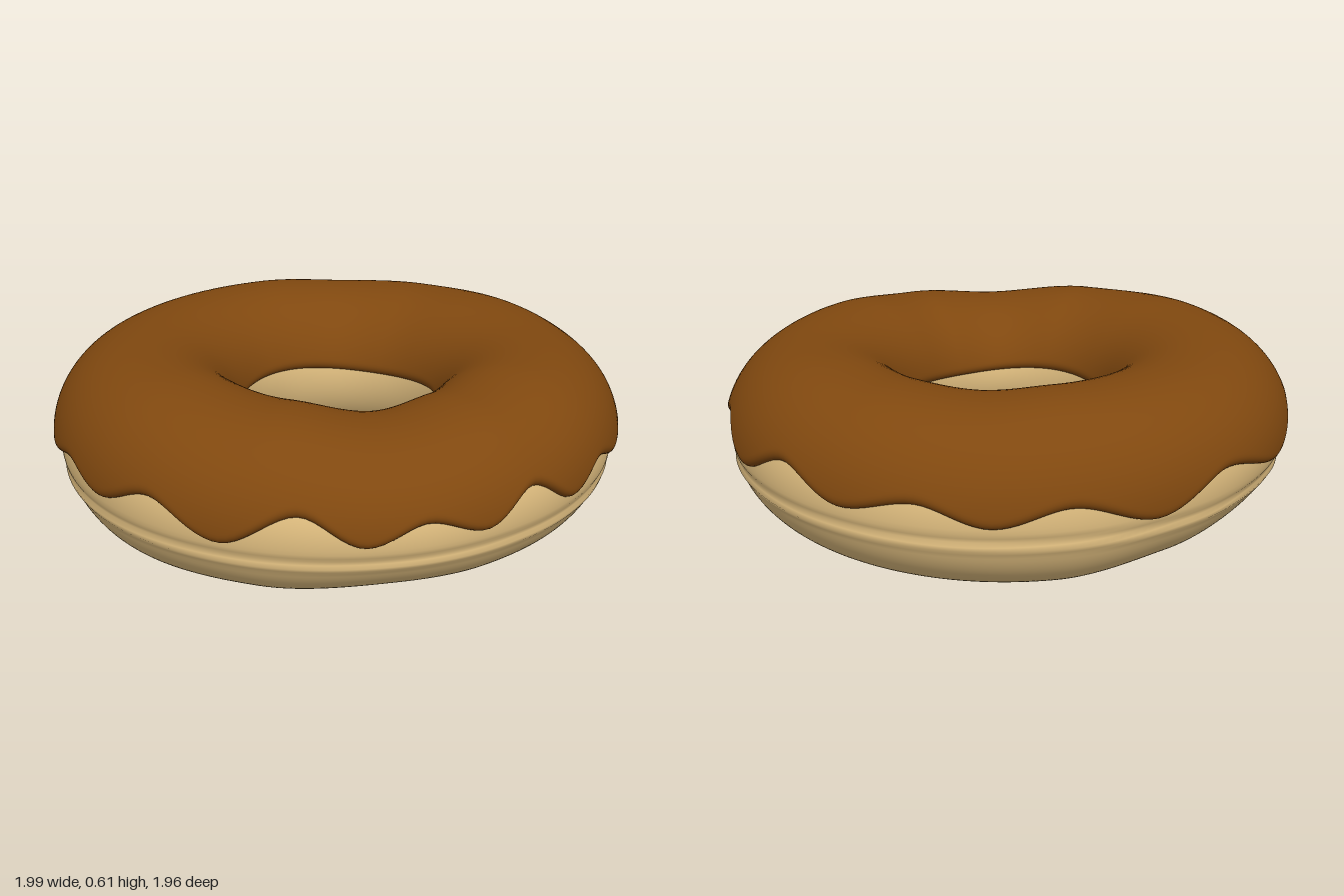
import * as THREE from 'three';

const RING = 0.667, HALF_WIDTH = 0.302, COAT = 0.024, SEGMENTS = 240;

// Heights around the ring as [degrees from +x towards +z, y]
const underside = [[0, 0.005], [40, 0.025], [65, 0.036], [95, 0.045], [117, 0.056], [145, 0.03], [180, 0.005],
  [215, 0.03], [243, 0.055], [265, 0.035], [290, 0.005], [330, 0.004]];
const crown = [[0, 0.6], [30, 0.592], [65, 0.6], [90, 0.58], [115, 0.553], [145, 0.592], [180, 0.613],
  [250, 0.597], [285, 0.595], [310, 0.58], [335, 0.59]];
const icingHem = [[0, 0.29], [15, 0.375], [30, 0.3], [45, 0.325], [57, 0.302], [68, 0.35], [79, 0.293], [90, 0.385],
  [101, 0.298], [112, 0.35], [123, 0.293], [135, 0.385], [149, 0.283], [164, 0.37], [177, 0.3], [189, 0.345],
  [202, 0.298], [218, 0.375], [237, 0.29], [256, 0.36], [273, 0.27], [289, 0.34], [303, 0.285], [317, 0.345],
  [331, 0.298], [346, 0.375]];

// Smooth periodic interpolation between keyed angles
function around(keys, angle) {
  const deg = THREE.MathUtils.radToDeg(angle) % 360;
  let i = keys.length - 1;
  while (keys[i][0] > deg) i--;
  const [d0, y0] = keys[i];
  const next = keys[(i + 1) % keys.length];
  const d1 = i + 1 < keys.length ? next[0] : 360;
  return THREE.MathUtils.lerp(y0, next[1], THREE.MathUtils.smoothstep(deg, d0, d1));
}

// Middle height and half height of the dough at an angle
function section(a) {
  const low = around(underside, a), high = around(crown, a) - COAT;
  return { mid: (low + high) / 2, half: (high - low) / 2 };
}

// Point on the dough cross-section, pushed out along it by an offset
function ringPoint(a, theta, offset) {
  const { mid, half } = section(a);
  const c = Math.cos(theta), s = Math.sin(theta);
  const width = HALF_WIDTH + (c > 0 ? 0.006 * Math.cos(2 * a) * c : 0);
  const bulge = Math.sign(c) * Math.pow(Math.abs(c), 0.92);
  return [RING + width * bulge + offset * c, mid + half * s + offset * s];
}

// Sweeps a cross-section rule round the y axis; open sections end inside the dough
function sweep(rule, steps, closed) {
  const positions = [], index = [];
  const row = closed ? steps : steps + 1;
  for (let i = 0; i < SEGMENTS; i++) {
    const a = (i / SEGMENTS) * Math.PI * 2;
    for (let j = 0; j < row; j++) {
      const [r, y] = rule(a, j / steps);
      positions.push(r * Math.cos(a), y, r * Math.sin(a));
    }
    const k = (i + 1) % SEGMENTS;
    for (let j = 0; j < steps; j++) {
      const n = (j + 1) % row;
      const p = i * row + j, q = i * row + n, u = k * row + j, v = k * row + n;
      index.push(p, q, u, q, v, u);
    }
  }
  const geometry = new THREE.BufferGeometry();
  geometry.setAttribute('position', new THREE.Float32BufferAttribute(positions, 3));
  geometry.setIndex(index);
  geometry.computeVertexNormals();
  return geometry;
}

// Dough with a faint crease round its outer wall
function doughRule(a, t) {
  const theta = t * Math.PI * 2;
  const [r, y] = ringPoint(a, theta, 0);
  if (Math.cos(theta) <= 0) return [r, y];
  const crease = 0.006 * Math.exp(-(((y - 0.215) / 0.012) ** 2)) - 0.007 * Math.exp(-(((y - 0.24) / 0.012) ** 2));
  return [r + crease, y];
}

// Icing coat from the wavy outer hem, over the crown, to the inner hem, with rounded lips
function icingRule(a, t) {
  const { mid, half } = section(a);
  const start = Math.asin((around(icingHem, a) - mid) / half);
  const end = Math.PI - Math.asin((0.335 + 0.01 * Math.sin(3 * a) - mid) / half);
  const s = (1 - Math.cos(Math.PI * t)) / 2;
  const fromHem = Math.min(s, 1 - s) * (end - start) * 0.3;
  const lip = 1 - Math.min(fromHem / 0.035, 1);
  const offset = -0.006 + (COAT + 0.006) * Math.sqrt(1 - lip * lip);
  return ringPoint(a, start + s * (end - start), offset);
}

export function createModel() {
  const doughColour = new THREE.MeshStandardMaterial({ color: 0xe0be80 });
  doughColour.name = 'golden dough';
  const icingColour = new THREE.MeshStandardMaterial({ color: 0x80480f });
  icingColour.name = 'chocolate icing';

  const model = new THREE.Group();
  model.name = 'doughnut';
  const dough = new THREE.Mesh(sweep(doughRule, 120, true), doughColour);
  dough.name = 'dough';
  const icing = new THREE.Mesh(sweep(icingRule, 60, false), icingColour);
  icing.name = 'icing';
  model.add(dough, icing);
  return model;
}
